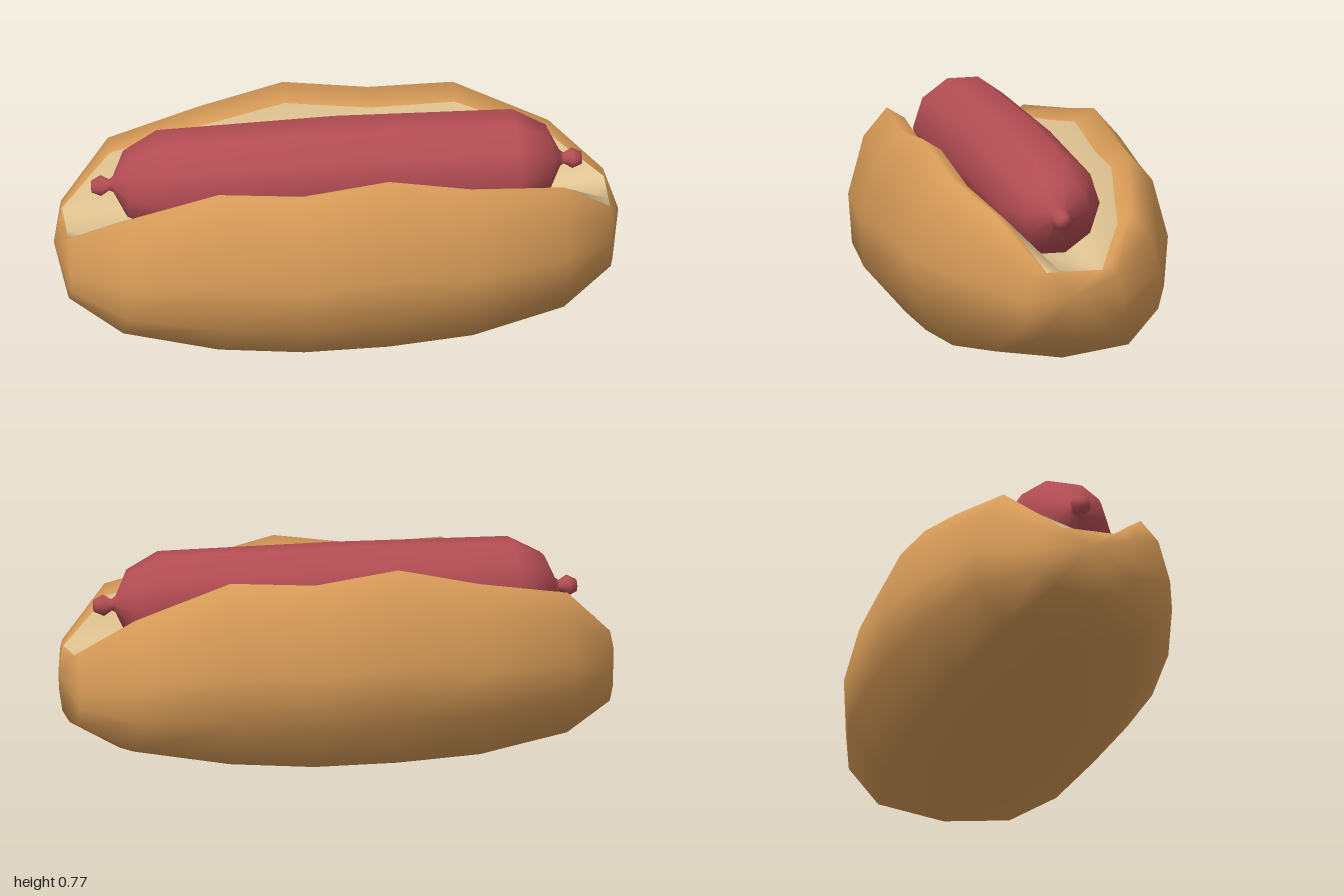
import * as THREE from 'three';

const mat = (name, color) => new THREE.MeshStandardMaterial({ name, color });

// Stations along the bun: position, half-width scale, underside, front rim height
const X = [-0.96, -0.78, -0.45, -0.15, 0.15, 0.45, 0.78, 0.96];
const WIDTH = [0.36, 0.72, 0.935, 1, 1, 0.935, 0.72, 0.36];
const BOTTOM = [0.18, 0.08, 0.022, 0.003, 0.003, 0.022, 0.08, 0.18];
const RIM = [0.45, 0.585, 0.72, 0.705, 0.747, 0.68, 0.62, 0.45];

// Half cross-section of the crust from the inner lip to the keel: [z, height share]
const CRUST = [[0.28, 0.94], [0.35, 1], [0.44, 0.86], [0.5, 0.565], [0.485, 0.31], [0.335, 0.067]];

// The two sides of the bun are the same shape turned half round
function place(i, z, share, side) {
  const rim = side > 0 ? RIM[i] : RIM[RIM.length - 1 - i];
  return [X[i], BOTTOM[i] + share * (rim - BOTTOM[i]), side * z * WIDTH[i]];
}

// Skins a row of cross-sections, with optional end points closing both ends
function skin(rings, poles) {
  const n = rings[0].length, last = rings.length - 1;
  const pos = rings.flat(2), index = [];
  for (let i = 0; i < last; i++) {
    for (let j = 0; j < n - 1; j++) {
      const a = i * n + j, b = a + 1, c = a + n, d = c + 1;
      index.push(a, b, c, b, d, c);
    }
  }
  if (poles) {
    const left = rings.length * n, right = left + 1;
    pos.push(...poles.flat());
    for (let j = 0; j < n; j++) {
      const k = (j + 1) % n;
      index.push(left, k, j, last * n + j, last * n + k, right);
    }
  }
  const g = new THREE.BufferGeometry();
  g.setAttribute('position', new THREE.Float32BufferAttribute(pos, 3));
  g.setIndex(index);
  g.computeVertexNormals();
  return g;
}

function crustGeometry() {
  const rings = X.map((x, i) => [
    ...CRUST.map(([z, s]) => place(i, z, s, 1)),
    [x, BOTTOM[i], 0],
    ...[...CRUST].reverse().map(([z, s]) => place(i, z, s, -1)),
  ]);
  return skin(rings, [[-1, 0.36, 0], [1, 0.36, 0]]);
}

// Trough lining the split, shallow at both ends
function crumbGeometry() {
  const [lipZ, lipShare] = CRUST[0];
  const rings = X.map((x, i) => {
    const end = i === 0 || i === X.length - 1;
    const floor = end ? 0.434 : 0.405;
    const half = end ? 0.05 : 0.15 * WIDTH[i];
    return [
      place(i, lipZ, lipShare, -1),
      [x, floor, -half],
      [x, floor, half],
      place(i, lipZ, lipShare, 1),
    ];
  });
  return skin(rings);
}

// Ten-sided sausage with a tied knob at each end, bowed slightly forward
function sausageGeometry() {
  const half = [[0.183, 0], [0.181, 0.63], [0.122, 0.745], [0.03, 0.79], [0.02, 0.805], [0.038, 0.835], [0.022, 0.868], [0, 0.87]];
  const profile = [
    ...half.slice(1).reverse().map(([r, y]) => new THREE.Vector2(r, -y)),
    ...half.map(([r, y]) => new THREE.Vector2(r, y)),
  ];
  const g = new THREE.LatheGeometry(profile, 10);
  g.rotateZ(-Math.PI / 2);
  const p = g.attributes.position;
  for (let i = 0; i < p.count; i++) {
    const t = Math.abs(p.getX(i)) / 0.87;
    p.setZ(i, p.getZ(i) - 0.004 + 0.02 * t * t);
    p.setY(i, p.getY(i) + 0.602 - 0.012 * t * t);
  }
  return g;
}

export function createModel() {
  const group = new THREE.Group();
  const crustMat = mat('golden crust', 0xd69a57);
  const crumbMat = mat('pale crumb', 0xe3c693);
  const sausageMat = mat('sausage red', 0xb44d54);
  crustMat.side = crumbMat.side = THREE.DoubleSide;

  const add = (name, geometry, material) => {
    const mesh = new THREE.Mesh(geometry, material);
    mesh.name = name;
    group.add(mesh);
  };
  add('bunCrust', crustGeometry(), crustMat);
  add('bunCrumb', crumbGeometry(), crumbMat);
  add('sausage', sausageGeometry(), sausageMat);
  return group;
}
